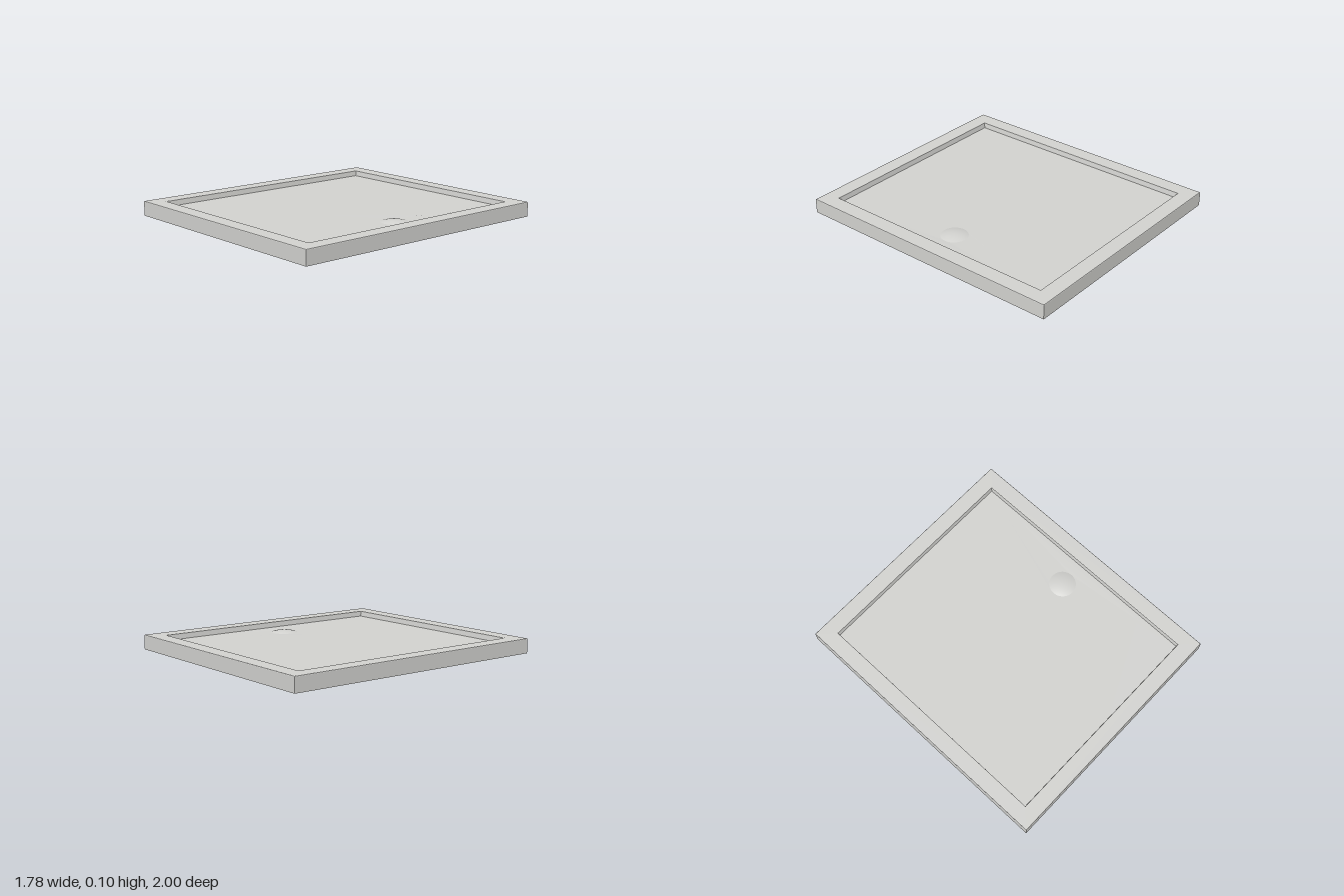
import * as THREE from 'three';

const DRAIN_X = 0.58, DRAIN_Z = -0.01, DRAIN_R = 0.095;
const FLOOR_Y = 0.066, DRAIN_Y = 0.061;

// Sheet joining rectangular sections [halfWidth, halfDepth, y]
function rectLoft(sections) {
  const pos = [];
  const corners = ([w, d, y]) => [[-w, y, d], [w, y, d], [w, y, -d], [-w, y, -d]];
  for (let i = 0; i < sections.length - 1; i++) {
    const a = corners(sections[i]), b = corners(sections[i + 1]);
    for (let k = 0; k < 4; k++) {
      const n = (k + 1) % 4;
      pos.push(...a[k], ...a[n], ...b[n], ...a[k], ...b[n], ...b[k]);
    }
  }
  const g = new THREE.BufferGeometry();
  g.setAttribute('position', new THREE.Float32BufferAttribute(pos, 3));
  g.computeVertexNormals();
  return g;
}

export function createModel() {
  const group = new THREE.Group();
  group.name = 'showerTray';
  const acrylic = new THREE.MeshStandardMaterial({ color: 0xd2d2cf, side: THREE.DoubleSide });
  acrylic.name = 'pale grey acrylic';

  const add = (geometry, name) => {
    const mesh = new THREE.Mesh(geometry, acrylic);
    mesh.name = name;
    group.add(mesh);
    return mesh;
  };

  // Outer skirt, softened top edge, flat rim and basin wall
  add(rectLoft([
    [0.888, 1, 0], [0.888, 1, 0.099], [0.886, 0.998, 0.103], [0.882, 0.994, 0.105],
    [0.78, 0.892, 0.105], [0.776, 0.888, 0.103], [0.77, 0.882, FLOOR_Y],
  ]), 'skirtAndRim');

  // Basin floor falling gently to the drain opening
  const floor = new THREE.Shape([
    new THREE.Vector2(-0.77, -0.882), new THREE.Vector2(0.77, -0.882),
    new THREE.Vector2(0.77, 0.882), new THREE.Vector2(-0.77, 0.882),
  ]);
  floor.holes.push(new THREE.Path().absarc(DRAIN_X, -DRAIN_Z, DRAIN_R, 0, Math.PI * 2, true));
  const floorGeo = new THREE.ShapeGeometry(floor, 24).rotateX(-Math.PI / 2);
  const p = floorGeo.attributes.position;
  for (let i = 0; i < p.count; i++) {
    const r = Math.hypot(p.getX(i) - DRAIN_X, p.getZ(i) - DRAIN_Z);
    p.setY(i, r < DRAIN_R + 0.01 ? DRAIN_Y : FLOOR_Y);
  }
  floorGeo.computeVertexNormals();
  add(floorGeo, 'basinFloor');

  // Shallow domed drain cover
  const dome = [];
  for (let i = 0; i <= 8; i++) {
    const t = i / 8;
    dome.push(new THREE.Vector2(DRAIN_R * (1 - t), DRAIN_Y + 0.014 * (1 - (1 - t) ** 2)));
  }
  add(new THREE.LatheGeometry(dome, 48), 'drainCover').position.set(DRAIN_X, 0, DRAIN_Z);

  // Waste collar beneath the drain
  const collar = [[0.088, 0], [0.12, 0], [0.12, 0.004], [0.088, 0.004], [0.088, 0]]
    .map(([r, y]) => new THREE.Vector2(r, y));
  add(new THREE.LatheGeometry(collar, 48), 'wasteCollar').position.set(DRAIN_X, 0, DRAIN_Z);

  return group;
}
